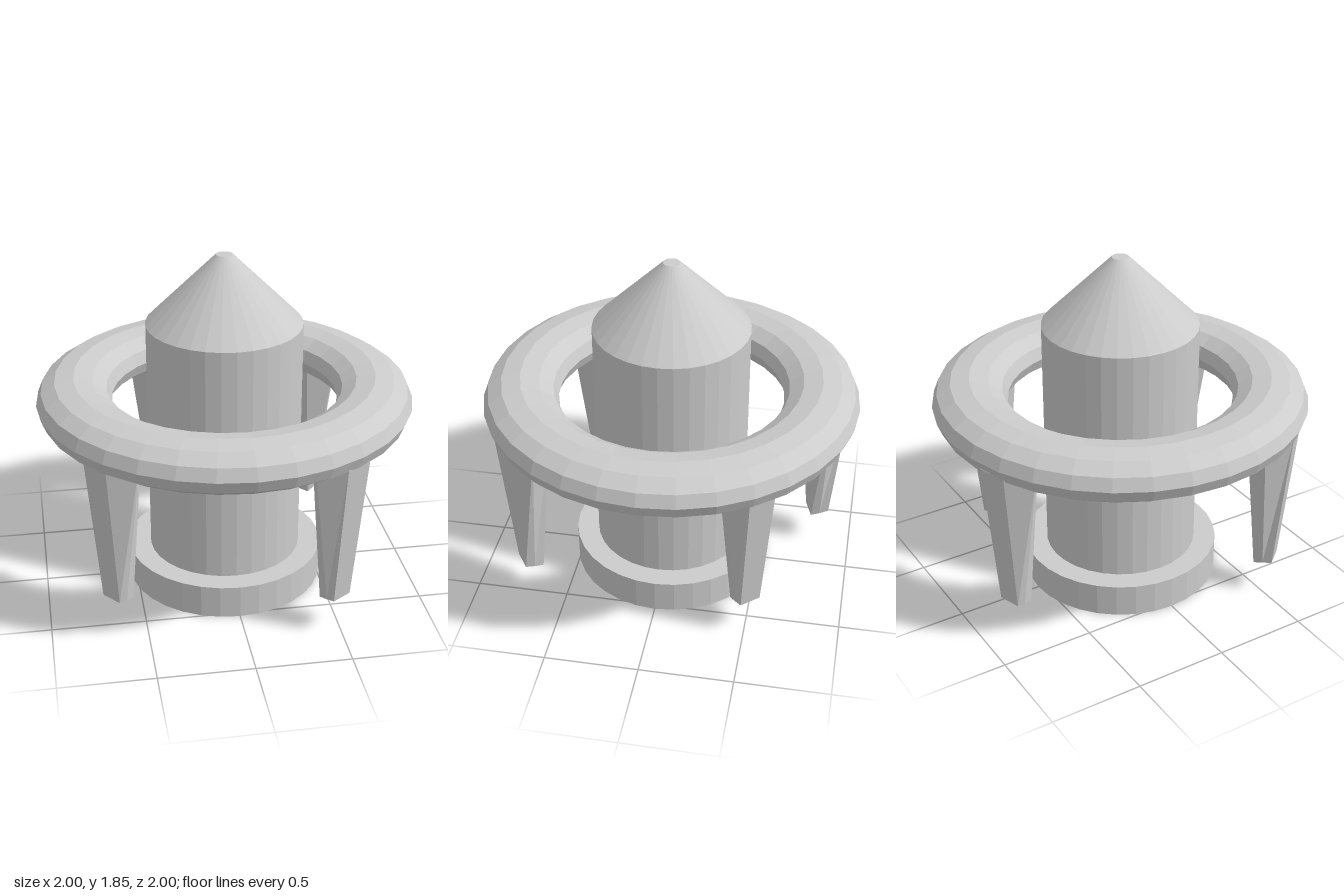
import * as THREE from 'three';

const material = new THREE.MeshStandardMaterial({ color: 0xcccccc, flatShading: true });

function addMesh(parent, name, geometry) {
  const mesh = new THREE.Mesh(geometry, material);
  mesh.name = name;
  parent.add(mesh);
  return mesh;
}

// Closed solid between two cross-sections, each counter-clockwise seen from above
function loft(bottom, top) {
  const n = bottom.length;
  const index = [];
  for (let i = 0; i < n; i++) {
    const j = (i + 1) % n;
    index.push(i, j, n + j, i, n + j, n + i);
  }
  for (let i = 1; i < n - 1; i++) {
    index.push(0, i + 1, i, n, n + i, n + i + 1);
  }
  const geometry = new THREE.BufferGeometry();
  geometry.setAttribute('position', new THREE.Float32BufferAttribute([...bottom, ...top].flat(), 3));
  geometry.setIndex(index);
  const flat = geometry.toNonIndexed();
  flat.computeVertexNormals();
  return flat;
}

// Six-sided leg section; +z points away from the ring's centre
function section(outerHalf, midHalf, outerZ, innerZ, outerY, innerY) {
  const midZ = (outerZ + innerZ) / 2;
  const midY = (outerY + innerY) / 2;
  return [
    [outerHalf, outerY, outerZ], [midHalf, midY, midZ], [outerHalf, innerY, innerZ],
    [-outerHalf, innerY, innerZ], [-midHalf, midY, midZ], [-outerHalf, outerY, outerZ],
  ];
}

export function createModel() {
  const model = new THREE.Group();
  model.name = 'ringedTower';

  // Central body: base disc, column and truncated cone
  addMesh(model, 'base', new THREE.CylinderGeometry(0.533, 0.533, 0.18, 32)).position.y = 0.09;
  addMesh(model, 'column', new THREE.CylinderGeometry(0.414, 0.414, 1.3, 32)).position.y = 0.83;
  addMesh(model, 'coneRoof', new THREE.CylinderGeometry(0.044, 0.414, 0.37, 32)).position.y = 1.665;

  // Flattened floating ring
  const ring = new THREE.TorusGeometry(0.8, 0.2, 12, 32);
  ring.rotateX(Math.PI / 2);
  ring.scale(1, 0.665, 1);
  addMesh(model, 'ring', ring).position.y = 1.067;

  // Tapered legs hanging from the ring, unevenly spaced
  const legGeometry = loft(
    section(0.06, 0.062, 0.05, -0.05, 0.205, 0.187),
    section(0.078, 0.183, 0.128, -0.12, 1.02, 1.02),
  );
  const legs = [
    ['frontLeftLeg', 0.47, 0.70],
    ['backLeftLeg', 0.57, -0.495],
    ['frontRightLeg', -0.645, 0.535],
    ['backRightLeg', -0.27, -0.805],
  ];
  for (const [name, x, z] of legs) {
    const leg = addMesh(model, name, legGeometry);
    leg.position.set(x, 0, z);
    leg.rotation.y = Math.atan2(x, z);
  }
  return model;
}
